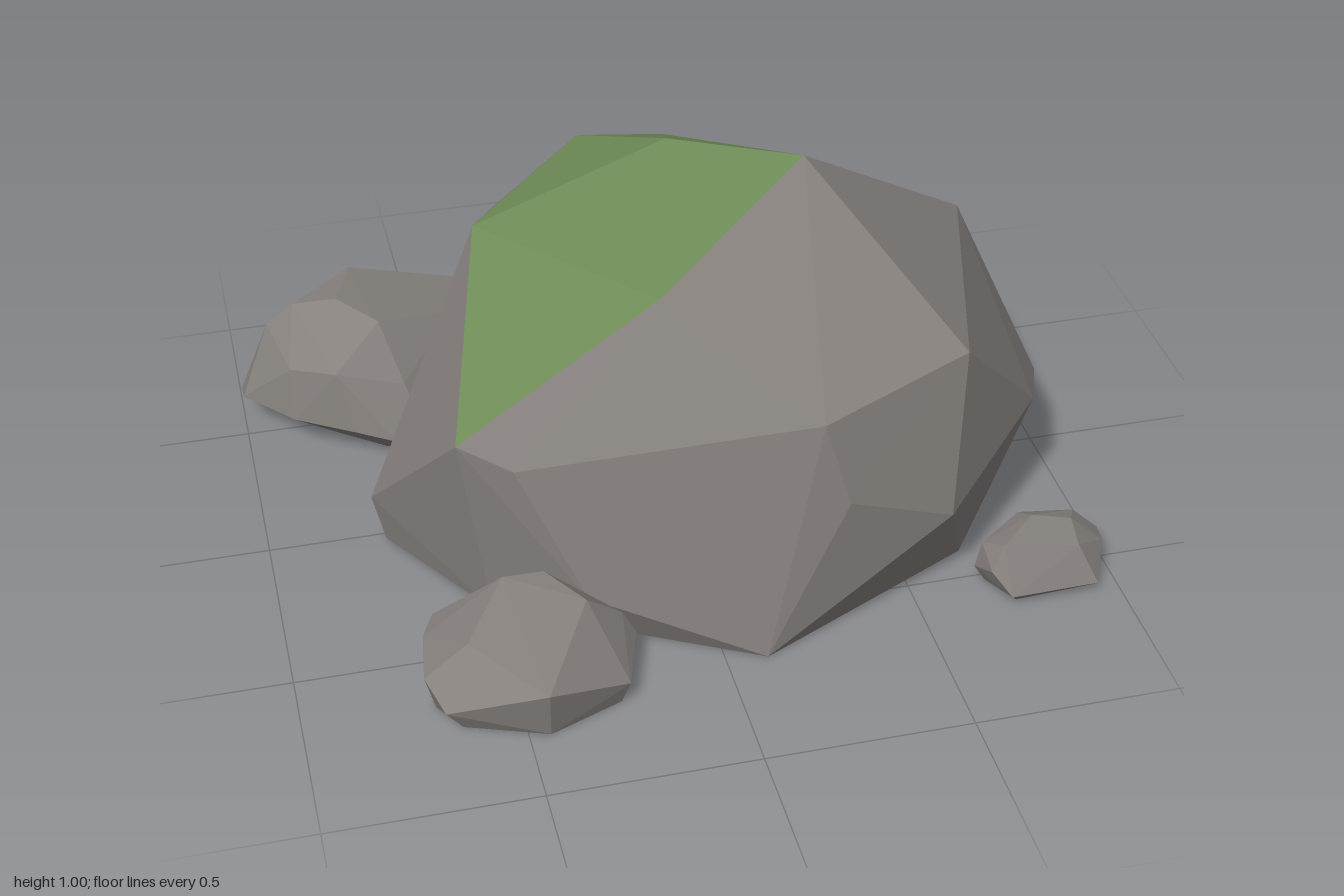
import * as THREE from 'three';
import { ConvexGeometry } from 'three/addons/geometries/ConvexGeometry.js';

const stone = new THREE.MeshStandardMaterial({ color: 0x85807c, flatShading: true, side: THREE.DoubleSide });
stone.name = 'stone grey';
const moss = new THREE.MeshStandardMaterial({ color: 0x6f8c58, flatShading: true, side: THREE.DoubleSide });
moss.name = 'moss green';

const toVectors = (list) => list.map((p) => new THREE.Vector3(...p));

// Faceted shell around corner points, open underneath.
// Faces whose three corners all belong to the moss list become a separate geometry.
function shell(corners, mossCorners = []) {
  const hull = new ConvexGeometry(toVectors([...corners, ...mossCorners]));
  const pos = hull.getAttribute('position');
  const mossPoints = toVectors(mossCorners);
  const faces = { stone: [], moss: [] };
  for (let i = 0; i < pos.count; i += 3) {
    const tri = [0, 1, 2].map((k) => new THREE.Vector3().fromBufferAttribute(pos, i + k));
    if (tri.every((v) => v.y < 0.001)) continue;
    const mossy = tri.every((v) => mossPoints.some((m) => m.distanceTo(v) < 1e-4));
    for (const v of tri) faces[mossy ? 'moss' : 'stone'].push(v.x, v.y, v.z);
  }
  const build = (data) => {
    const g = new THREE.BufferGeometry();
    g.setAttribute('position', new THREE.Float32BufferAttribute(data, 3));
    g.computeVertexNormals();
    return g;
  };
  return { stone: build(faces.stone), moss: build(faces.moss) };
}

function addMesh(group, name, geometry, material) {
  const mesh = new THREE.Mesh(geometry, material);
  mesh.name = name;
  group.add(mesh);
}

// Top of the boulder, covered with moss
const mossCap = [
  [0.325, 1, 0.08], [0.785, 0.69, -0.1], [0.6, 0.55, -0.52], [0.13, 0.743, -0.53],
  [-0.085, 0.74, -0.58], [-0.417, 0.72, -0.24], [-0.57, 0.5, 0.35], [-0.08, 0.82, 0.33],
  [0.065, 0.91, -0.225],
];

// Bare sides of the boulder
const boulder = [
  // shoulders
  [0.625, 0.65, 0.465], [0.24, 0.6, 0.6], [-0.45, 0.465, 0.43], [-0.32, 0.54, -0.59],
  // waist
  [0.3, 0.39, 0.63], [0.575, 0.26, 0.57], [0.88, 0.34, 0.27], [0.955, 0.29, 0.085],
  [0.914, 0.22, -0.21], [0.68, 0.33, -0.52], [0.42, 0.2, -0.6], [0.06, 0.07, -0.695],
  [-0.74, 0.135, 0.02], [-0.3, 0.14, 0.53],
  // foot
  [0.1, 0, 0.67], [0.665, 0, 0.4], [0.85, 0, 0.08], [0.76, 0, -0.455], [0.06, 0, -0.67],
  [-0.29, 0, -0.655], [-0.71, 0, 0.02], [-0.5, 0, 0.35],
];

const backRock = [
  // rim
  [-1, 0.08, -0.6], [-1, 0.1, -0.53], [-0.93, 0.12, -0.715], [-0.765, 0.08, -0.82],
  [-0.605, 0.08, -0.84], [-0.62, 0.21, -0.82], [-0.41, 0.15, -0.77], [-0.35, 0.2, -0.7],
  [-0.32, 0.15, -0.6], [-0.5, 0.12, -0.32], [-0.55, 0.08, -0.255], [-0.635, 0.08, -0.265],
  [-0.73, 0.1, -0.3], [-0.88, 0.1, -0.395],
  // crown
  [-0.685, 0.36, -0.685], [-0.375, 0.28, -0.685], [-0.74, 0.375, -0.52], [-0.645, 0.355, -0.42],
  [-0.85, 0.35, -0.56], [-0.92, 0.285, -0.58], [-0.88, 0.235, -0.43], [-0.77, 0.255, -0.35],
  [-0.6, 0.22, -0.32], [-0.45, 0.3, -0.5],
  // foot
  [-0.8, 0, -0.6], [-0.7, 0, -0.69], [-0.5, 0, -0.69], [-0.42, 0, -0.6], [-0.5, 0, -0.4],
  [-0.65, 0, -0.36], [-0.78, 0, -0.46],
];

const frontRock = [
  // rim
  [-0.66, 0.1, 0.45], [-0.695, 0.1, 0.525], [-0.715, 0.1, 0.67], [-0.68, 0.06, 0.755],
  [-0.455, 0.135, 0.835], [-0.25, 0.06, 0.75], [-0.2, 0.07, 0.59], [-0.23, 0.12, 0.57],
  // crown
  [-0.5, 0.23, 0.51], [-0.61, 0.18, 0.665], [-0.32, 0.2, 0.6], [-0.4, 0.22, 0.5], [-0.4, 0.1, 0.44],
  // foot
  [-0.69, 0, 0.66], [-0.64, 0, 0.74], [-0.45, 0, 0.81], [-0.27, 0, 0.74], [-0.24, 0, 0.6],
  [-0.4, 0, 0.47], [-0.64, 0, 0.48],
];

const sideRock = [
  // rim
  [0.665, 0.04, 0.51], [0.765, 0.04, 0.4], [0.97, 0.06, 0.415], [1, 0.06, 0.46],
  [0.99, 0.07, 0.52], [0.94, 0.03, 0.63], [0.72, 0.03, 0.635], [0.68, 0.08, 0.59],
  // crown
  [0.68, 0.11, 0.51], [0.715, 0.14, 0.57], [0.815, 0.147, 0.48], [0.91, 0.135, 0.5],
  [0.9, 0.12, 0.585], [0.8, 0.12, 0.43], [0.94, 0.11, 0.44],
  // foot
  [0.69, 0, 0.52], [0.78, 0, 0.42], [0.93, 0, 0.43], [0.96, 0, 0.5], [0.92, 0, 0.6], [0.74, 0, 0.61],
];

export function createModel() {
  const group = new THREE.Group();
  group.name = 'mossyRocks';

  const main = shell(boulder, mossCap);
  addMesh(group, 'boulder', main.stone, stone);
  addMesh(group, 'mossCap', main.moss, moss);

  const smallRocks = { backRock, frontRock, sideRock };
  for (const [name, corners] of Object.entries(smallRocks)) {
    addMesh(group, name, shell(corners).stone, stone);
  }
  return group;
}
